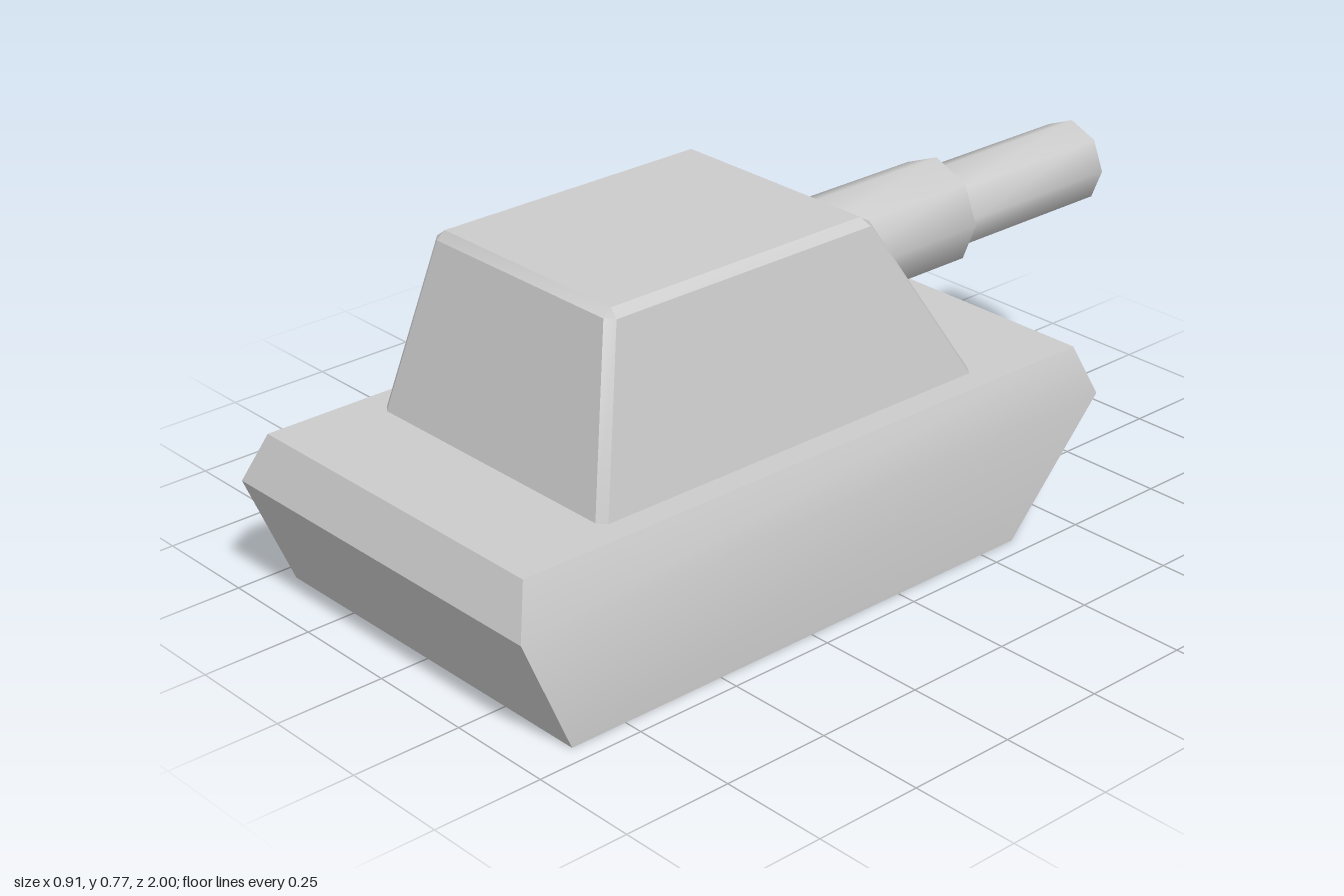
import * as THREE from 'three';
import { toCreasedNormals } from 'three/addons/utils/BufferGeometryUtils.js';

const material = new THREE.MeshStandardMaterial({ color: 0xcccccc, side: THREE.DoubleSide });

// Rectangular cross-section with optional cut corners, counter-clockwise from above
function section(y, x, zBack, zFront, cx = 0, cz = 0) {
  return [
    [x - cx, y, zFront], [x, y, zFront - cz],
    [x, y, zBack + cz], [x - cx, y, zBack],
    [-x + cx, y, zBack], [-x, y, zBack + cz],
    [-x, y, zFront - cz], [-x + cx, y, zFront],
  ];
}

// Skin between sections from bottom to top, closed on top and open below
function loft(sections, crease) {
  const positions = [];
  const triangle = (...corners) => {
    const [a, b, c] = corners.map((p) => new THREE.Vector3(...p));
    const area = b.clone().sub(a).cross(c.clone().sub(a)).length();
    if (area > 1e-9) positions.push(...corners.flat());
  };
  for (let s = 0; s < sections.length - 1; s++) {
    const low = sections[s], high = sections[s + 1];
    for (let i = 0; i < low.length; i++) {
      const j = (i + 1) % low.length;
      triangle(low[i], low[j], high[j]);
      triangle(low[i], high[j], high[i]);
    }
  }
  const top = sections[sections.length - 1];
  for (let i = 1; i < top.length - 1; i++) triangle(top[0], top[i], top[i + 1]);
  const geometry = new THREE.BufferGeometry();
  geometry.setAttribute('position', new THREE.Float32BufferAttribute(positions, 3));
  return toCreasedNormals(geometry, crease);
}

export function createModel() {
  const model = new THREE.Group();
  model.name = 'tank';
  const add = (name, geometry) => {
    const mesh = new THREE.Mesh(geometry, material);
    mesh.name = name;
    model.add(mesh);
    return mesh;
  };

  // Hull: open underneath, widest at the rim, sloped at both ends
  add('hull', loft([
    section(0, 0.455, -0.345, 0.885),
    section(0.27, 0.455, -0.6, 1),
    section(0.378, 0.413, -0.565, 0.957),
  ], 0.53));

  // Turret: tapered block with bevelled edges, sunk slightly into the deck
  add('turret', loft([
    section(0.37, 0.356, -0.323, 0.717, 0.02, 0.016),
    section(0.757, 0.28, -0.09, 0.622, 0.02, 0.016),
    section(0.774, 0.259, -0.064, 0.602),
  ], 0.53));

  // Gun: eight-sided sleeve and thinner hollow barrel pointing to -z
  const profile = [
    [0.125, 0.05], [0.125, 0.555], [0.098, 0.555], [0.098, 1],
    [0.078, 1], [0.078, 0.05],
  ].map(([r, d]) => new THREE.Vector2(r, d));
  const gun = add('gun', toCreasedNormals(
    new THREE.LatheGeometry(profile, 8).rotateX(-Math.PI / 2), 0.9));
  gun.position.y = 0.574;

  return model;
}
